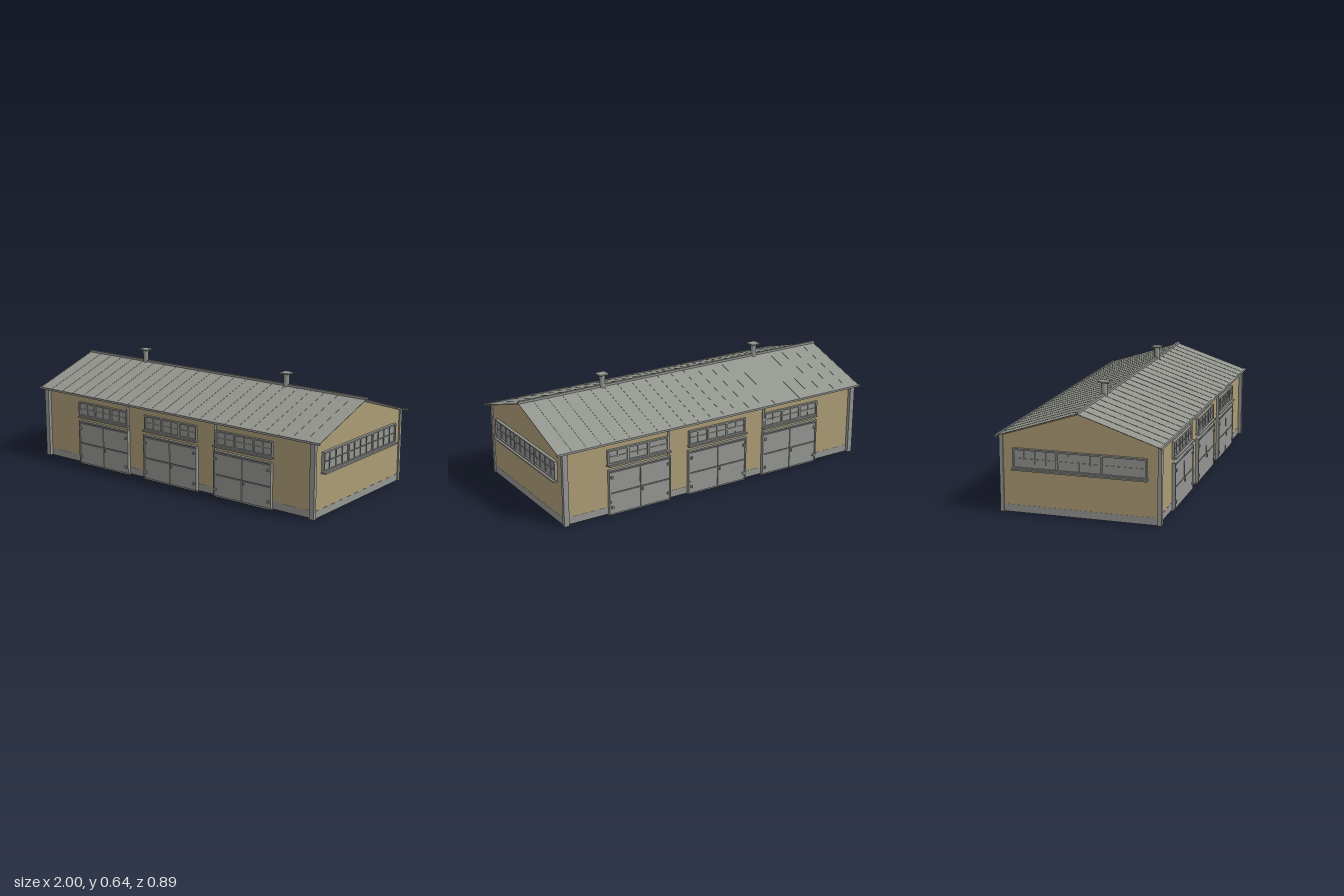
import * as THREE from 'three';

function mat(name, color, side = THREE.FrontSide) {
  const m = new THREE.MeshStandardMaterial({ color, side });
  m.name = name;
  return m;
}

export function createModel() {
  const ochre = mat('ochre plaster', 0xab9b75);
  const grey = mat('grey metal', 0x939591);
  const sheet = mat('roof sheet', 0x92958d, THREE.DoubleSide);

  const group = (name, parent) => {
    const g = new THREE.Group();
    g.name = name;
    parent.add(g);
    return g;
  };
  const box = (parent, name, m, w, h, d, x, y, z) => {
    const b = new THREE.Mesh(new THREE.BoxGeometry(w, h, d), m);
    b.name = name;
    b.position.set(x, y, z);
    parent.add(b);
    return b;
  };

  // Glazed band facing +z, centred on its own origin, with bars and a sill
  function windowBand(parent, name, w, h, cols, rows, sections, sillDepth) {
    const g = group(name, parent);
    const f = 0.008, z = 0.008;
    box(g, 'glass', grey, w - f, h - f, 0.008, 0, 0, 0.004);
    for (const s of [-1, 1]) {
      box(g, 'frameRail', grey, w, f, 0.018, 0, s * (h - f) / 2, z);
      box(g, 'frameStile', grey, f, h, 0.018, s * (w - f) / 2, 0, z);
    }
    for (let i = 1; i < cols; i++) {
      const major = i % (cols / sections) === 0;
      box(g, 'glazingBar', grey, major ? 0.012 : 0.004, h - f, major ? 0.018 : 0.012,
        -w / 2 + i * w / cols, 0, z - 0.002);
    }
    for (let i = 1; i < rows; i++) {
      box(g, 'crossBar', grey, w - f, 0.004, 0.012, 0, -h / 2 + i * h / rows, z - 0.002);
    }
    box(g, 'sill', grey, w + 0.008, 0.008, sillDepth, 0, -h / 2 - 0.003, sillDepth / 2);
    return g;
  }

  // Double gate facing +z, standing on y = 0
  function gate(parent, x) {
    const g = group('gate', parent);
    g.position.set(x, 0, 0.412);
    box(g, 'gateFrame', grey, 0.384, 0.252, 0.012, 0, 0.136, 0.006);
    box(g, 'threshold', grey, 0.388, 0.01, 0.009, 0, 0.005, 0.0055);
    box(g, 'frameHead', grey, 0.384, 0.008, 0.022, 0, 0.259, 0.011);
    for (const s of [-1, 1]) {
      box(g, 'framePost', grey, 0.008, 0.25, 0.022, s * 0.188, 0.134, 0.011);
      for (const y of [0.069, 0.19]) {
        box(g, 'leafPanel', grey, 0.18, 0.116, 0.008, s * 0.092, y, 0.015);
      }
      for (const y of [0.048, 0.22]) {
        box(g, 'hinge', grey, 0.012, 0.014, 0.009, s * 0.174, y, 0.021);
      }
    }
    box(g, 'handle', grey, 0.008, 0.018, 0.009, 0.012, 0.115, 0.021);
  }

  const model = new THREE.Group();
  model.name = 'longShed';

  // Gabled body with a painted plinth, flush with the walls
  const gable = new THREE.Shape([
    [-0.415, 0.008], [0.415, 0.008], [0.415, 0.42], [0, 0.555], [-0.415, 0.42],
  ].map(([x, y]) => new THREE.Vector2(x, y)));
  const bodyGeo = new THREE.ExtrudeGeometry(gable, { depth: 1.914, bevelEnabled: false });
  bodyGeo.translate(0, 0, -0.957).rotateY(Math.PI / 2);
  const body = new THREE.Mesh(bodyGeo, ochre);
  body.name = 'walls';
  model.add(body);
  box(model, 'plinth', grey, 1.916, 0.04, 0.832, 0, 0.028, 0);
  for (const sx of [-1, 1]) for (const sz of [-1, 1]) {
    box(model, 'cornerPost', grey, 0.03, 0.412, 0.02, sx * 0.95, 0.214, sz * 0.425);
  }

  // Both long sides: gates, windows and rain pipes
  for (const turn of [0, Math.PI]) {
    const side = group(turn ? 'backSide' : 'frontSide', model);
    side.rotation.y = turn;
    for (const x of [-0.5, 0, 0.5]) {
      gate(side, x);
      const band = windowBand(side, 'gateWindow', 0.376, 0.084, 6, 2, 3, 0.012);
      band.position.set(x * 1.014, 0.334, 0.412);
      box(side, 'canopy', grey, 0.384, 0.008, 0.028, x, 0.288, 0.427);
    }
    for (const s of [-1, 1]) {
      const pipe = new THREE.Mesh(new THREE.CylinderGeometry(0.007, 0.007, 0.412, 8), grey);
      pipe.name = 'rainPipe';
      pipe.position.set(s * 0.315, 0.214, 0.421);
      side.add(pipe);
    }
    box(side, 'gutter', grey, 1.996, 0.011, 0.011, 0, 0.42, 0.441);
  }

  // Window bands on the gable ends
  for (const s of [-1, 1]) {
    const band = windowBand(model, 'gableWindow', 0.72, 0.108, 12, 2, 3, 0.03);
    band.rotation.y = s * Math.PI / 2;
    band.position.set(s * 0.957, 0.301, 0);
  }

  // Roof: two thin slopes with standing seams
  const run = 0.44, rise = 0.145, length = Math.hypot(run, rise);
  for (const s of [-1, 1]) {
    const slope = group('roofSlope', model);
    slope.position.set(0, 0.4925, s * run / 2);
    slope.rotation.x = s * Math.atan2(rise, run);
    box(slope, 'roofSheet', sheet, 1.99, 0.0015, length, 0, 0, 0);
    for (let i = 0; i <= 23; i++) {
      box(slope, 'seam', sheet, 0.003, 0.002, length, -0.993 + i * 1.986 / 23, 0.001, 0);
    }
  }
  box(model, 'ridgeCap', grey, 1.996, 0.012, 0.014, 0, 0.57, 0);

  // Ridge vents
  for (const x of [-0.543, 0.482]) {
    const vent = group('ridgeVent', model);
    vent.position.x = x;
    const stack = new THREE.Mesh(new THREE.CylinderGeometry(0.016, 0.016, 0.078, 16), grey);
    stack.name = 'ventStack';
    stack.position.y = 0.597;
    vent.add(stack);
    box(vent, 'ventCap', grey, 0.058, 0.007, 0.058, 0, 0.637, 0);
  }
  return model;
}
